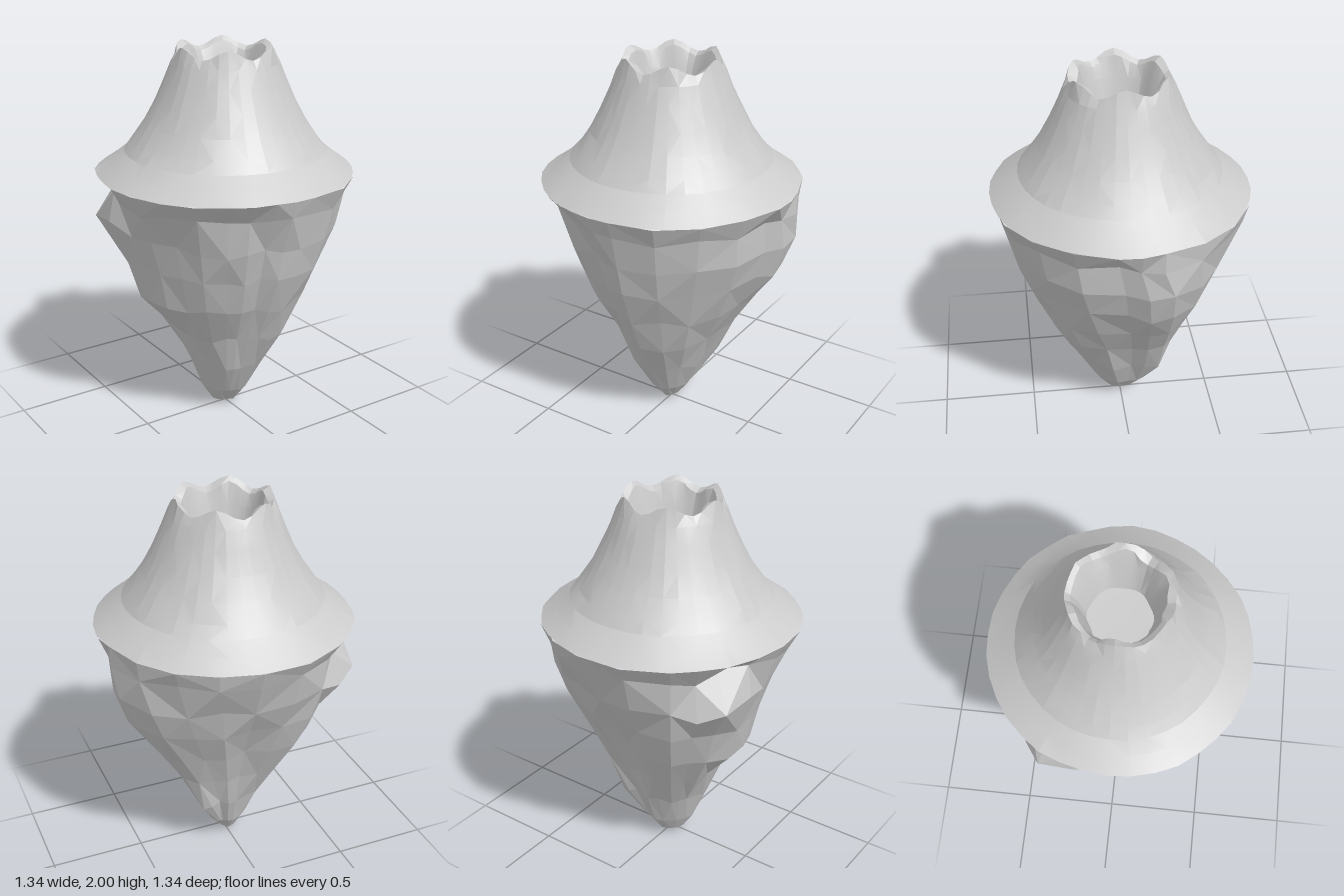
import * as THREE from 'three';
import { toCreasedNormals } from 'three/addons/utils/BufferGeometryUtils.js';

const RAD = Math.PI / 180;

// Repeatable noise in -1..1
const noise = (a, b) => {
  const s = Math.sin(a * 127.1 + b * 311.7 + 4.2) * 43758.5453;
  return (s - Math.floor(s)) * 2 - 1;
};

// Skin closed rings of points, listed from the bottom/outside to the top/inside
function loft(rings) {
  const n = rings[0].length;
  const index = [];
  for (let j = 0; j < rings.length - 1; j++) {
    for (let i = 0; i < n; i++) {
      const k = (i + 1) % n;
      const a = j * n + i, b = j * n + k, c = a + n, d = b + n;
      if ((i + j) % 2) index.push(a, b, d, a, d, c);
      else index.push(a, b, c, b, d, c);
    }
  }
  const geometry = new THREE.BufferGeometry();
  geometry.setAttribute('position', new THREE.Float32BufferAttribute(rings.flat(2), 3));
  geometry.setIndex(index);
  geometry.computeVertexNormals();
  return geometry;
}

const point = (angle, r, y) => [r * Math.sin(angle * RAD), y, r * Math.cos(angle * RAD)];

// Ridge headings in degrees (0 is front, 90 is +x); some ridges lean round as they descend
const HEADINGS = [6, 45, 83, 102, 138, 174, 215, 238, 270, 300, 328, 348];
const LEAN_SHARE = [0, 0, 0.6, 1, 0.45, 0.1, 0, 0, 0, 0, 0, 0];

// Rock levels: height, lean in degrees, radius at each heading
const ROCK = [
  [0.03, 45, [.07, .05, .04, .06, .07, .09, .08, .08, .08, .07, .06, .06]],
  [0.12, 45, [.14, .12, .11, .15, .14, .15, .13, .13, .14, .13, .13, .13]],
  [0.30, 33, [.25, .22, .19, .27, .22, .21, .21, .21, .21, .21, .23, .23]],
  [0.50, 22, [.36, .33, .29, .36, .31, .27, .33, .33, .29, .29, .31, .32]],
  [0.70, 14, [.45, .42, .41, .47, .41, .35, .44, .46, .46, .42, .42, .41]],
  [0.90, 8, [.54, .51, .53, .59, .51, .45, .53, .54, .51, .48, .48, .48]],
  [1.07, 5, [.58, .58, .58, .66, .58, .54, .59, .68, .56, .52, .55, .53]],
  [1.25, 0, [.63, .62, .59, .665, .64, .63, .61, .55, .62, .61, .59, .61]],
];
const SHELF = 7;

// Two columns per heading, so each ridge keeps its corner
function columns(lean) {
  const ridges = HEADINGS.map((h, i) => h + lean * LEAN_SHARE[i]);
  return ridges.flatMap((h, i) => [h, (h + (ridges[i + 1] ?? ridges[0] + 360)) / 2]);
}
const COLUMNS = columns(0);

// Shared sharp edge between slope and rock
const edgeRing = COLUMNS.map((a, i) => point(a, 0.673 + 0.007 * noise(i, 1), 1.355 + 0.005 * noise(i, 2)));

function rockGeometry() {
  const rings = ROCK.map(([y, lean, radii], j) => columns(lean).map((a, i) => {
    const h = i >> 1;
    const mid = (radii[h] + radii[(h + 1) % radii.length]) / 2;
    const r = i % 2 ? mid * (1.005 + 0.02 * noise(i, j + 5)) : radii[h];
    const lift = j > 1 ? 0.02 * noise(i + 3, j + 9) : 0;
    const shelf = h === SHELF && j > 5 ? 0.05 : 0;
    return point(a, r, y + lift + shelf);
  }));
  const tip = COLUMNS.map(() => [0, 0, 0]);
  return loft([tip, ...rings, edgeRing]);
}

// Wavy crater lip: six peaks
const lipY = (a) => 1.974 - 0.026 * Math.cos(6 * a * RAD);
const LIP = Array.from({ length: 36 }, (_, i) => i * 10);
const lipRing = LIP.map((a, i) => point(a, 0.25 + 0.006 * noise(i, 40), lipY(a)));

function slopeGeometry() {
  const profile = [[0.59, 1.41], [0.522, 1.465], [0.477, 1.52], [0.415, 1.61], [0.362, 1.71], [0.312, 1.82], [0.277, 1.91]];
  // Resample the shared edge at the finer lip spacing
  const edge = LIP.map((a) => {
    const i = Math.max(0, COLUMNS.findIndex((c) => c > a));
    const p = (i + COLUMNS.length - 1) % COLUMNS.length;
    const from = COLUMNS[p] > a ? COLUMNS[p] - 360 : COLUMNS[p];
    const to = COLUMNS[i] <= a ? COLUMNS[i] + 360 : COLUMNS[i];
    const t = (a - from) / (to - from);
    return edgeRing[p].map((v, k) => v + (edgeRing[i][k] - v) * t);
  });
  const rings = profile.map(([r, y], j) => LIP.map((a, i) => point(a, r * (1 + 0.007 * noise(i >> 1, j + 30)), y)));
  return loft([edge, ...rings, lipRing]);
}

function craterGeometry() {
  const ring = (r, y, wave) => LIP.map((a, i) =>
    point(a, r * (1 + wave * Math.cos(6 * a * RAD) + 0.02 * noise(i >> 1, y)), y));
  return loft([
    lipRing,
    LIP.map((a, i) => point(a, 0.215 + 0.012 * noise(i >> 1, 50), lipY(a) - 0.02)),
    ring(0.19, 1.87, 0.03),
    ring(0.155, 1.72, 0.03),
    LIP.map(() => [0, 1.715, 0]),
  ]);
}

export function createModel() {
  const group = new THREE.Group();
  group.name = 'floatingVolcano';
  const add = (name, geometry, flatShading) => {
    const material = new THREE.MeshStandardMaterial({ color: 0xcccccc, flatShading });
    const mesh = new THREE.Mesh(geometry, material);
    mesh.name = name;
    group.add(mesh);
  };

  // Craggy hanging rock
  add('rockUnderside', rockGeometry(), true);

  // Flared, softly faceted volcano slope
  add('volcanoSlope', toCreasedNormals(slopeGeometry(), 0.16), false);

  // Hollow crater with a floor
  add('crater', toCreasedNormals(craterGeometry(), 0.3), false);

  return group;
}
